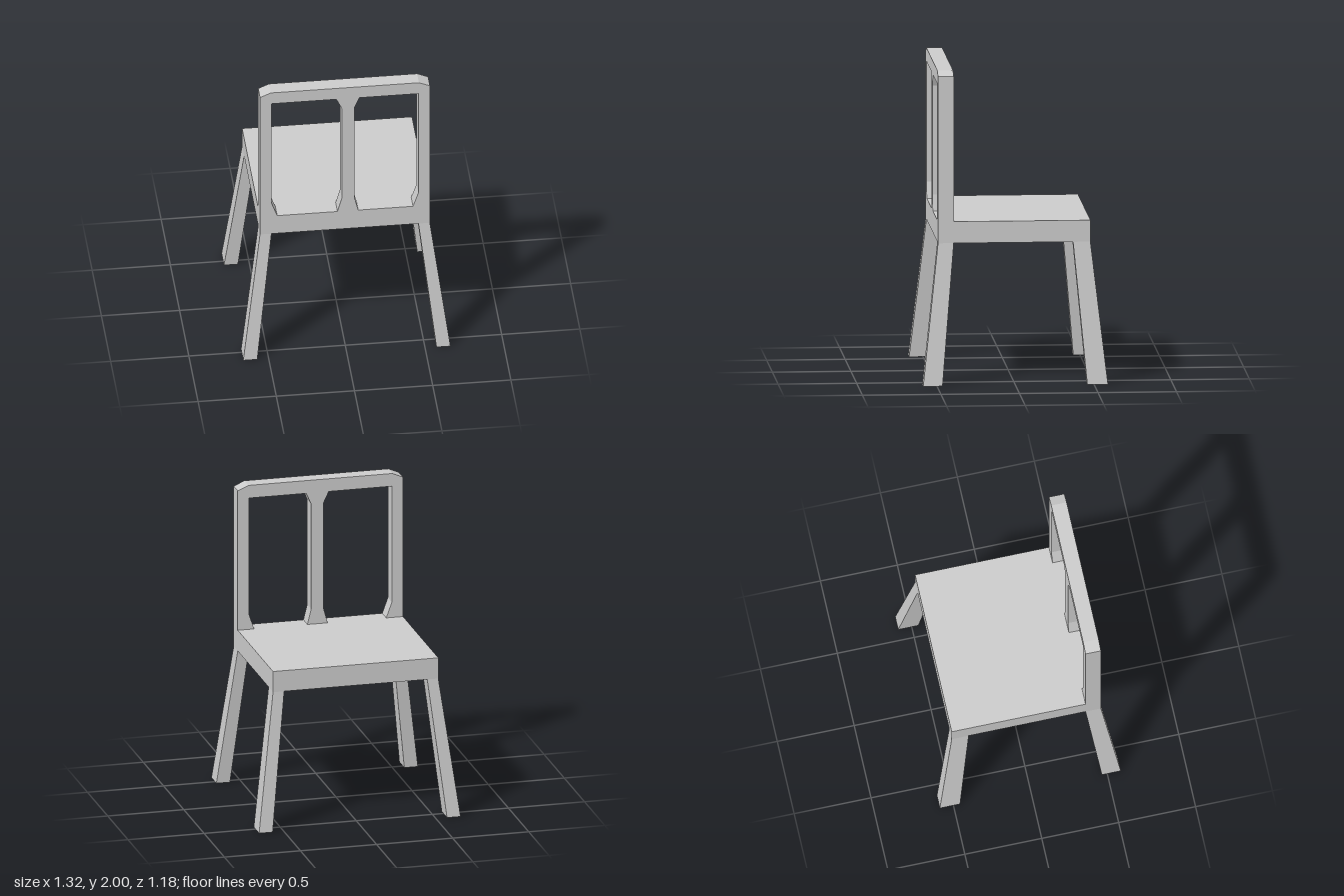
import * as THREE from 'three';

const material = new THREE.MeshStandardMaterial({ color: 0xcccccc, flatShading: true });

function addPart(group, name, geometry) {
  const mesh = new THREE.Mesh(geometry, material);
  mesh.name = name;
  group.add(mesh);
  return mesh;
}

// Splayed leg: a box whose top and bottom corners move to given inner/outer edges
function legGeometry(sx, sz) {
  const zInner = sz > 0 ? [0.385, 0.465] : [0.375, 0.457];
  const geometry = new THREE.BoxGeometry(1, 1, 1);
  const p = geometry.attributes.position;
  for (let i = 0; i < p.count; i++) {
    const top = p.getY(i) > 0;
    const outerX = p.getX(i) * sx > 0;
    const outerZ = p.getZ(i) * sz > 0;
    const x = outerX ? (top ? 0.543 : 0.662) : (top ? 0.47 : 0.573);
    const z = outerZ ? (top ? 0.485 : 0.588) : (top ? zInner[0] : zInner[1]);
    p.setXYZ(i, sx * x, top ? 0.9 : 0, sz * z);
  }
  geometry.computeVertexNormals();
  return geometry;
}

export function createModel() {
  const chair = new THREE.Group();
  chair.name = 'chair';

  // Seat slab
  addPart(chair, 'seat', new THREE.BoxGeometry(1.086, 0.138, 0.97)).position.y = 0.969;

  // Backrest: posts, top rail and slightly off-centre slat with flared ends
  const outline = [
    [-0.543, 1.038], [-0.433, 1.038], [-0.47, 1.14], [-0.47, 1.915],
    [-0.055, 1.915], [-0.02, 1.84], [-0.02, 1.14], [-0.048, 1.038],
    [0.085, 1.038], [0.06, 1.14], [0.06, 1.84], [0.093, 1.915],
    [0.47, 1.915], [0.47, 1.14], [0.435, 1.038], [0.543, 1.038],
    [0.543, 1.97], [0.473, 2], [-0.473, 2], [-0.543, 1.97],
  ];
  const shape = new THREE.Shape(outline.map(([x, y]) => new THREE.Vector2(x, y)));
  const back = new THREE.ExtrudeGeometry(shape, { depth: 0.1, bevelEnabled: false });
  addPart(chair, 'backrest', back).position.z = 0.385;

  // Four legs
  for (const sx of [-1, 1]) {
    for (const sz of [-1, 1]) {
      const name = (sz > 0 ? 'backrest' : 'seat') + 'End' + (sx > 0 ? 'Left' : 'Right') + 'Leg';
      addPart(chair, name, legGeometry(sx, sz));
    }
  }
  return chair;
}
